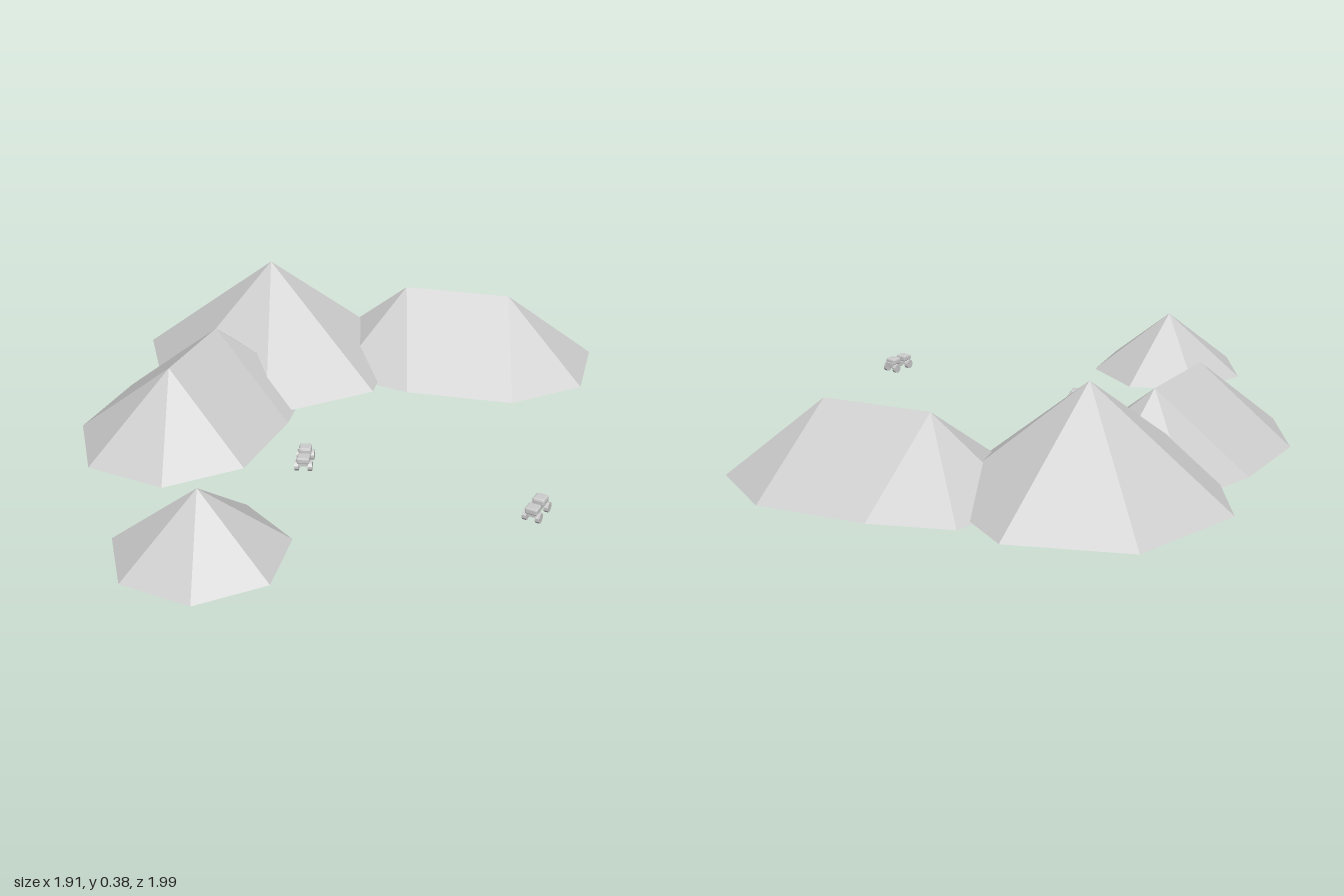
import * as THREE from 'three';
import { RoundedBoxGeometry } from 'three/addons/geometries/RoundedBoxGeometry.js';

const hillMaterial = new THREE.MeshStandardMaterial({ color: 0xcccccc, flatShading: true, side: THREE.DoubleSide });
const partMaterial = new THREE.MeshStandardMaterial({ color: 0xcccccc, flatShading: true });
const SIDES = 7;

// Open seven-sided cone, swept from peak a to peak b ([x, z]); equal peaks give a plain cone.
function hill(name, a, b, radius, baseY, topY) {
  const step = (Math.PI * 2) / SIDES;
  const dx = b[0] - a[0], dz = b[1] - a[1];
  const positions = [];
  const peak = (c) => [c[0], topY, c[1]];
  const foot = (c, k) => [c[0] + radius * Math.cos(k * step), baseY, c[1] - radius * Math.sin(k * step)];
  const endOf = (k) => (Math.cos((k + 0.5) * step) * dx - Math.sin((k + 0.5) * step) * dz > 0 ? b : a);
  const tri = (...corners) => corners.forEach((p) => positions.push(...p));
  for (let k = 0; k < SIDES; k++) {
    const c = endOf(k), next = endOf(k + 1);
    tri(peak(c), foot(c, k), foot(c, k + 1));
    // Flat flank joining the two ends
    if (next !== c) {
      tri(peak(c), foot(c, k + 1), foot(next, k + 1));
      tri(peak(c), foot(next, k + 1), peak(next));
    }
  }
  const geometry = new THREE.BufferGeometry();
  geometry.setAttribute('position', new THREE.Float32BufferAttribute(positions, 3));
  geometry.computeVertexNormals();
  const mesh = new THREE.Mesh(geometry, hillMaterial);
  mesh.name = name;
  return mesh;
}

function add(parent, name, geometry, x, y, z) {
  const mesh = new THREE.Mesh(geometry, partMaterial);
  mesh.name = name;
  mesh.position.set(x, y, z);
  parent.add(mesh);
  return mesh;
}

// Small four-wheeled buggy, pointing along +x before it is turned.
function buggy(name, x, z, heading) {
  const group = new THREE.Group();
  group.name = name;
  add(group, 'chassis', new THREE.BoxGeometry(0.09, 0.012, 0.026), 0, 0.034, 0);
  add(group, 'cab', new RoundedBoxGeometry(0.042, 0.026, 0.042, 1, 0.007), 0.027, 0.051, 0);
  add(group, 'hood', new THREE.BoxGeometry(0.012, 0.016, 0.034), 0.05, 0.041, 0);
  add(group, 'rearBed', new RoundedBoxGeometry(0.04, 0.022, 0.042, 1, 0.005), -0.033, 0.05, 0);
  for (const wx of [-0.036, 0.036]) {
    add(group, 'axle', new THREE.CylinderGeometry(0.004, 0.004, 0.044, 6).rotateX(Math.PI / 2), wx, 0.026, 0);
    for (const side of [-1, 1]) {
      add(group, 'wheel', new THREE.CylinderGeometry(0.017, 0.017, 0.014, 10).rotateX(Math.PI / 2), wx, 0.026, side * 0.022);
    }
  }
  group.position.set(x, 0, z);
  group.rotation.y = heading;
  return group;
}

export function createModel() {
  const model = new THREE.Group();
  model.name = 'hillsWithBuggies';
  model.add(
    hill('tallHill', [-0.22, -0.53], [-0.22, -0.53], 0.48, 0.008, 0.385),
    hill('smallHill', [-0.655, 0.717], [-0.655, 0.717], 0.285, 0.008, 0.23),
    hill('leftRidge', [0.275, -0.46], [0.62, -0.302], 0.33, 0, 0.265),
    hill('rightRidge', [-0.658, 0], [-0.463, -0.267], 0.33, 0, 0.265),
    buggy('farBuggy', -0.253, 0.29, 1.28),
    buggy('nearBuggy', 0.402, 0.748, 0.87),
  );
  return model;
}
